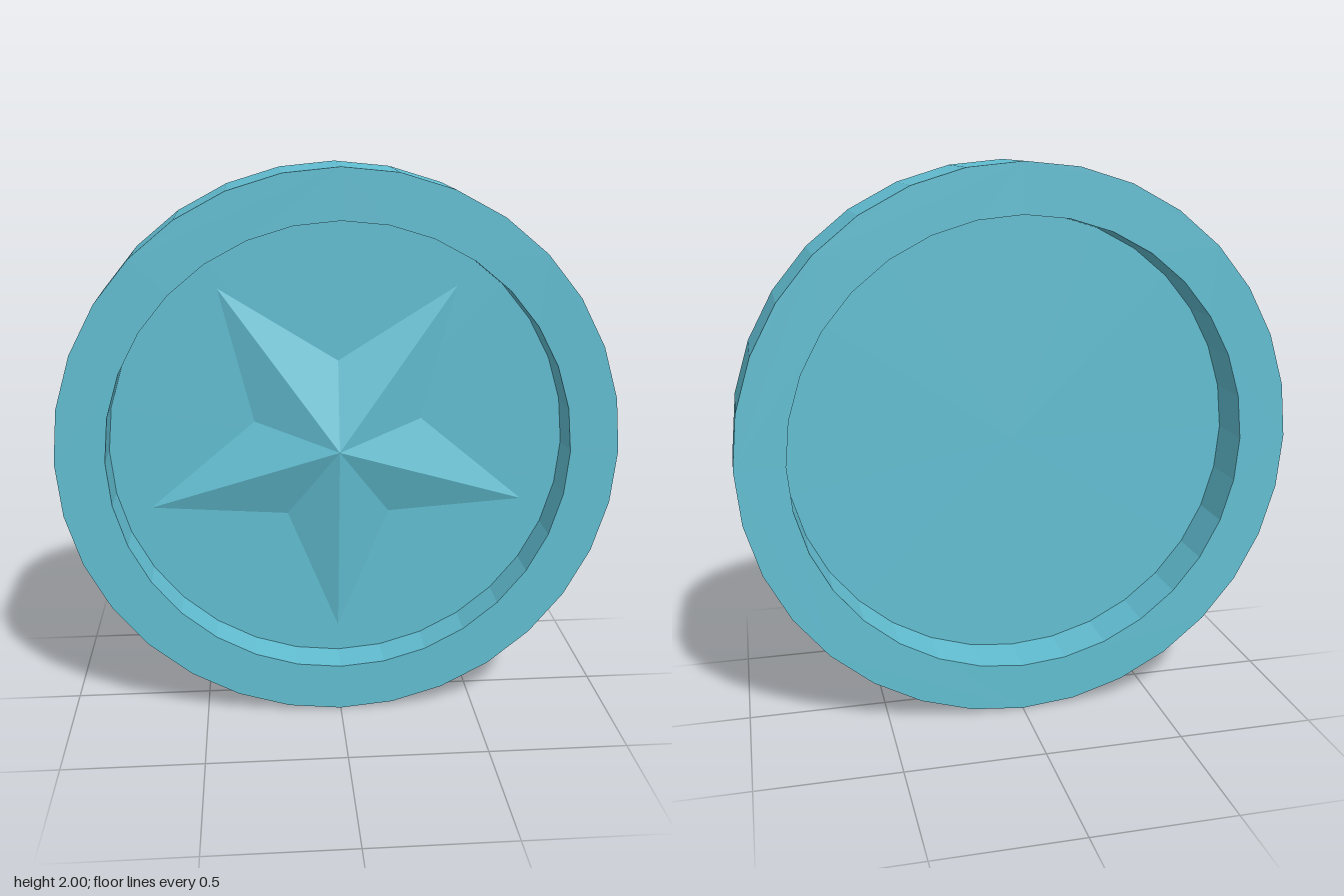
import * as THREE from 'three';

const SIDES = 32;
const DEPTH = 0.326;
const HOLE = 0.825;
const FLOOR_Z = 0.024;

// Regular polygon, or a star when the two radii differ
function ring(count, outer, inner = outer, start = 0) {
  return Array.from({ length: count }, (_, i) => {
    const a = start + (i / count) * Math.PI * 2;
    const r = i % 2 ? inner : outer;
    return new THREE.Vector2(Math.cos(a) * r, Math.sin(a) * r);
  });
}

export function createModel() {
  const model = new THREE.Group();
  model.name = 'starCoin';
  const material = new THREE.MeshStandardMaterial({ color: 0x62bfd3, flatShading: true });
  const thin = material.clone();
  thin.side = THREE.DoubleSide;

  const add = (name, geometry, mat, z) => {
    const mesh = new THREE.Mesh(geometry, mat);
    mesh.name = name;
    mesh.position.set(0, 1, z);
    model.add(mesh);
  };

  // Thick faceted rim, open through the middle
  const rim = new THREE.Shape(ring(SIDES, 1));
  rim.holes.push(new THREE.Path(ring(SIDES, HOLE)));
  add('rim', new THREE.ExtrudeGeometry(rim, { depth: DEPTH, bevelEnabled: false }), material, -DEPTH / 2);

  // Thin plate closing the rim, recessed on both faces
  add('plate', new THREE.CircleGeometry(HOLE, SIDES), thin, FLOOR_Z);

  // Faceted five-pointed star rising to a central peak, one point down
  const outline = ring(10, 0.72, 0.318, -Math.PI / 2);
  const positions = [];
  outline.forEach((p, i) => {
    const q = outline[(i + 1) % outline.length];
    positions.push(0, 0, 0.088, p.x, p.y, 0, q.x, q.y, 0);
  });
  const star = new THREE.BufferGeometry();
  star.setAttribute('position', new THREE.Float32BufferAttribute(positions, 3));
  star.computeVertexNormals();
  add('star', star, material, FLOOR_Z);

  return model;
}
